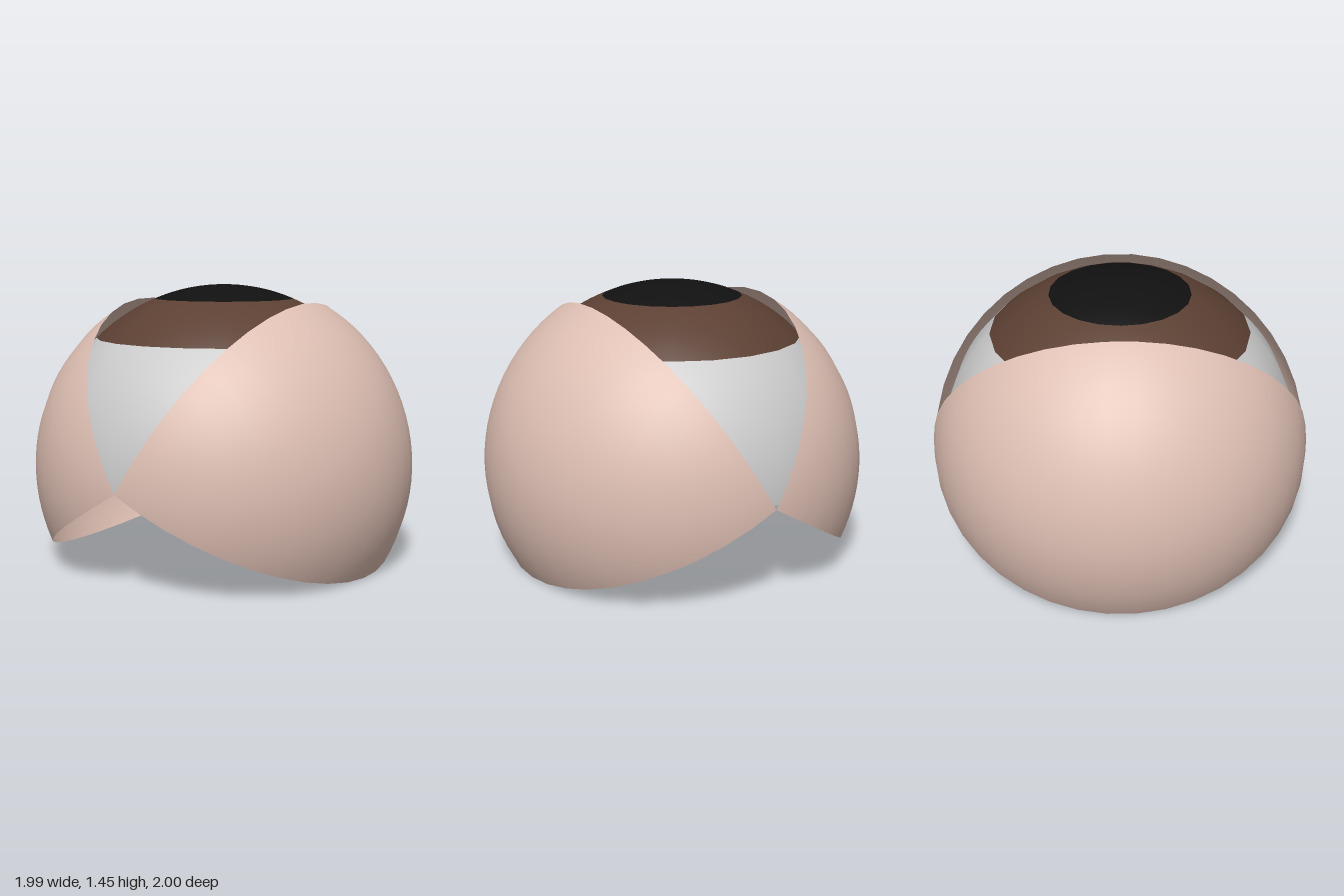
import * as THREE from 'three';

const CENTRE_Y = 0.5;
const SEGMENTS = 21;

function addPart(group, name, geometry, color) {
  const material = new THREE.MeshStandardMaterial({ color, side: THREE.DoubleSide });
  const mesh = new THREE.Mesh(geometry, material);
  mesh.name = name;
  mesh.position.y = CENTRE_Y;
  group.add(mesh);
}

// Ring of the eyeball dome between two angles from the top
function domeBand(from, to, rings) {
  return new THREE.SphereGeometry(0.95, SEGMENTS, rings, 0, Math.PI * 2, from, to - from);
}

// Quarter sphere hinged on the z axis, starting at the given angle from +x
function lid(startAngle) {
  return new THREE.SphereGeometry(1, SEGMENTS, SEGMENTS, Math.PI + startAngle, Math.PI / 2)
    .rotateX(Math.PI / 2);
}

export function createModel() {
  const eye = new THREE.Group();
  eye.name = 'eye';

  // Eyeball: an open dome in three coloured bands
  addPart(eye, 'pupil', domeBand(0, Math.PI / 8, 8), 0x111111);
  addPart(eye, 'iris', domeBand(Math.PI / 8, Math.PI / 4, 8), 0x5c4033);
  addPart(eye, 'eyeWhite', domeBand(Math.PI / 4, Math.PI / 2, 12), 0xcccccc);

  // Eyelids: a mirrored pair of thin shells
  addPart(eye, 'leftEyelid', lid(-Math.PI / 6), 0xdebfb3);
  addPart(eye, 'rightEyelid', lid(Math.PI * 2 / 3), 0xdebfb3);

  return eye;
}
